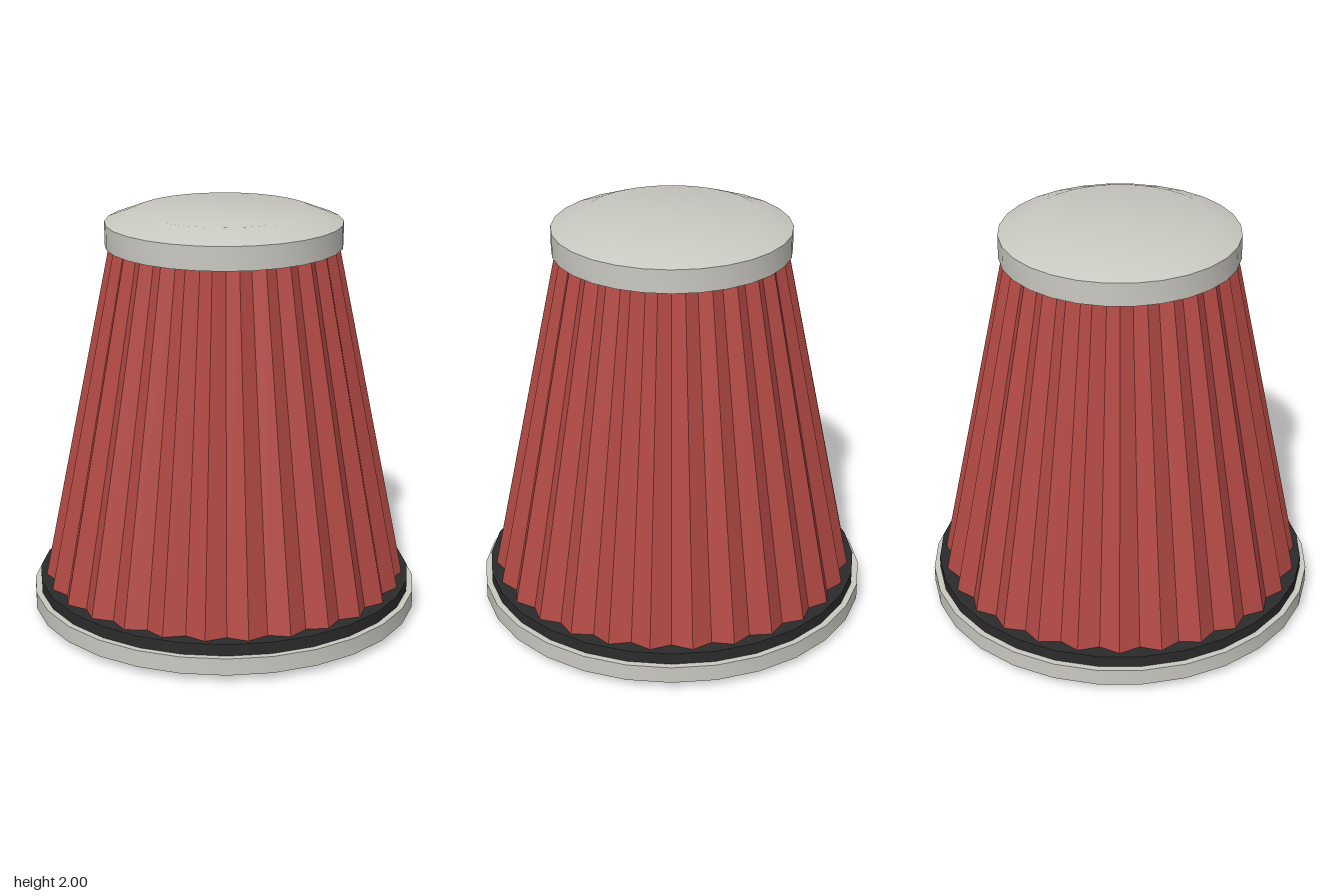
import * as THREE from 'three';
import { toCreasedNormals } from 'three/addons/utils/BufferGeometryUtils.js';

const PLEATS = 28;

function material(name, color) {
  const m = new THREE.MeshStandardMaterial({ color });
  m.name = name;
  return m;
}

// Closed turned part; profile runs from the bottom centre, outwards and up
function turned(name, profile, mat) {
  const points = profile.map(([r, y]) => new THREE.Vector2(r, y));
  const geometry = toCreasedNormals(new THREE.LatheGeometry(points, PLEATS), 0.5);
  const mesh = new THREE.Mesh(geometry, mat);
  mesh.name = name;
  return mesh;
}

// Open cone whose every second column is drawn in to form the folds
function pleatedCone(bottomR, topR, y0, y1, valley, mat) {
  const columns = PLEATS * 2;
  const geometry = new THREE.CylinderGeometry(topR, bottomR, y1 - y0, columns, 1, true);
  const p = geometry.attributes.position;
  for (let i = 0; i < p.count; i++) {
    if ((i % (columns + 1)) % 2 === 0) p.setXYZ(i, p.getX(i) * valley, p.getY(i), p.getZ(i) * valley);
  }
  geometry.translate(0, (y0 + y1) / 2, 0);
  geometry.computeVertexNormals();
  const mesh = new THREE.Mesh(geometry, mat);
  mesh.name = 'pleatedFilter';
  return mesh;
}

export function createModel() {
  const steel = material('brushed steel', 0xc9c8c1);
  const rubber = material('black rubber', 0x2b2b2b);
  const red = material('red filter fabric', 0xb24944);
  red.flatShading = true;

  const group = new THREE.Group();
  group.name = 'coneAirFilter';

  // Rubber base with a bevelled foot
  group.add(turned('rubberBase', [
    [0, 0], [0.865, 0], [0.9, 0.032], [0.925, 0.06], [0.925, 0.175], [0, 0.175],
  ], rubber));

  // Steel clamp band around the base
  group.add(turned('clampBand', [
    [0.88, 0.035], [0.955, 0.035], [0.955, 0.118], [0.9, 0.118],
  ], steel));

  // Pleated filter wall
  group.add(pleatedCone(0.895, 0.55, 0.17, 1.84, 0.95, red));

  // Steel end cap with a softly shaded top
  group.add(turned('endCap', [
    [0, 1.832], [0.57, 1.832], [0.57, 1.945], [0.425, 2], [0, 2],
  ], steel));

  return group;
}
